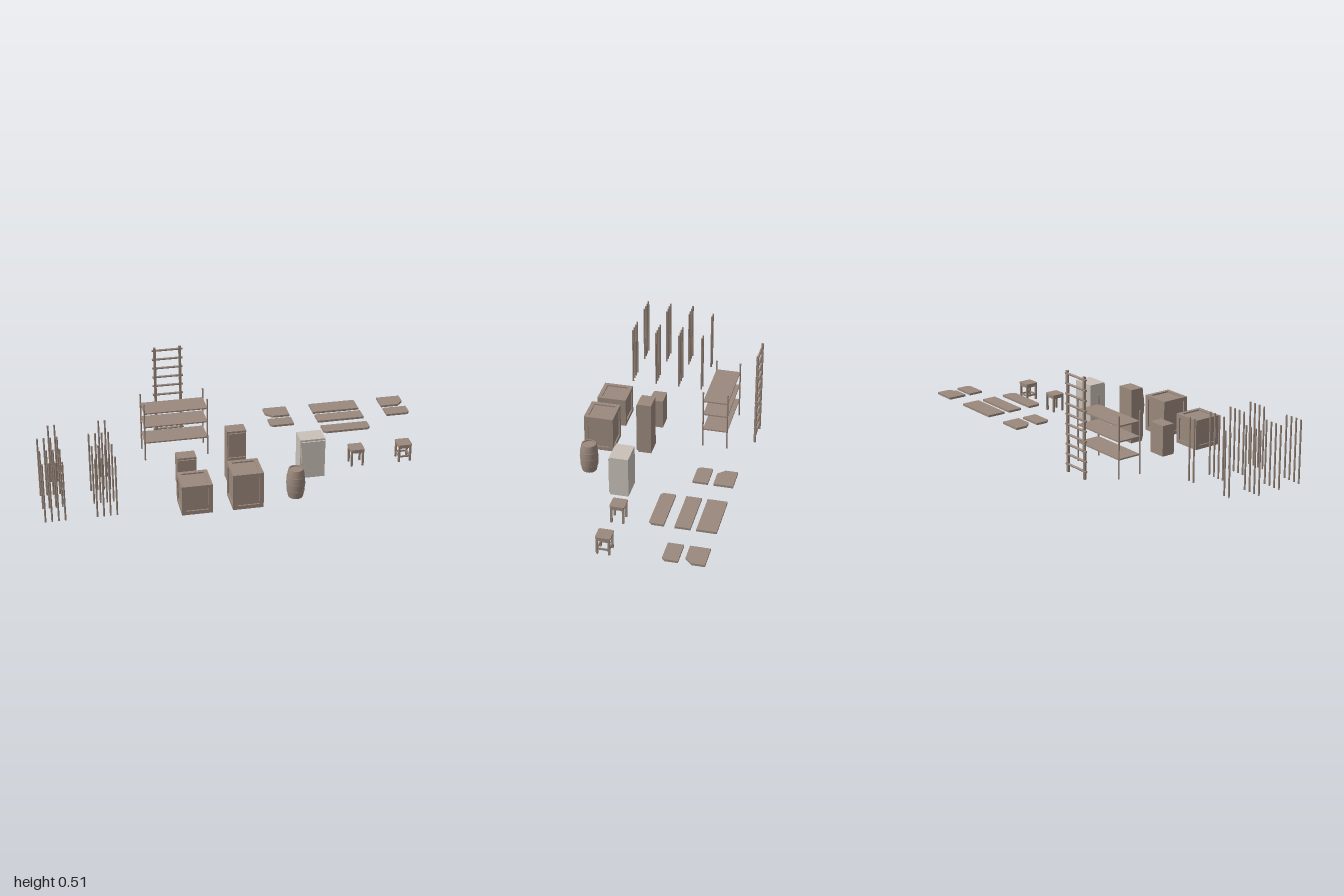
import * as THREE from 'three';
import { RoundedBoxGeometry } from 'three/addons/geometries/RoundedBoxGeometry.js';

const wood = new THREE.MeshStandardMaterial({ color: 0x9a887c });
wood.name = 'wood';
const pale = new THREE.MeshStandardMaterial({ color: 0xc8c0b8 });
pale.name = 'palePaint';

function add(parent, name, geometry, x, y, z, material = wood) {
  const mesh = new THREE.Mesh(geometry, material);
  mesh.name = name;
  mesh.position.set(x, y, z);
  parent.add(mesh);
  return mesh;
}

// Box given by its minimum and maximum corners
function block(parent, name, x0, x1, y0, y1, z0, z1, material = wood) {
  return add(parent, name, new THREE.BoxGeometry(x1 - x0, y1 - y0, z1 - z0),
    (x0 + x1) / 2, (y0 + y1) / 2, (z0 + z1) / 2, material);
}

function group(parent, name, x = 0, z = 0) {
  const g = new THREE.Group();
  g.name = name;
  g.position.set(x, 0, z);
  parent.add(g);
  return g;
}

// Crate: recessed core inside twelve edge beams
function crate(parent, x, z, w, h, d) {
  const g = group(parent, 'crate', x, z);
  const t = 0.02, inset = 0.007;
  add(g, 'cratePanels', new THREE.BoxGeometry(w - 2 * inset, h - 2 * inset, d - 2 * inset), 0, h / 2, 0);
  for (const a of [-1, 1]) for (const b of [-1, 1]) {
    add(g, 'crateCorner', new THREE.BoxGeometry(t, h, t), a * (w - t) / 2, h / 2, b * (d - t) / 2);
    const y = h / 2 + a * (h - t) / 2;
    add(g, 'crateFrontBeam', new THREE.BoxGeometry(w - 2 * t, t, t), 0, y, b * (d - t) / 2);
    add(g, 'crateSideBeam', new THREE.BoxGeometry(t, t, d - 2 * t), b * (w - t) / 2, y, 0);
  }
}

// Cupboard: plain body with doors and knobs on the front
function cupboard(parent, x, z, w, h, d, doors, material = wood) {
  const g = group(parent, 'cupboard', x, z);
  add(g, 'cupboardBody', new THREE.BoxGeometry(w, h, d - 0.007), 0, h / 2, -0.0035, material);
  const step = (h - 0.014) / doors;
  for (let i = 0; i < doors; i++) {
    const y = 0.006 + (i + 0.5) * step;
    add(g, 'cupboardDoor', new THREE.BoxGeometry(w - 0.008, step - 0.004, 0.007), 0, y, d / 2 - 0.0035, material);
  }
  return g;
}

// Barrel: bulging staves, recessed lid, raised hoops
function barrel(parent, x, z) {
  const g = group(parent, 'barrel', x, z);
  const h = 0.152;
  const radius = (y) => 0.046 - 0.009 * Math.pow((y - h / 2) / (h / 2), 2);
  const staves = [];
  for (let i = 0; i <= 12; i++) staves.push(new THREE.Vector2(radius((h * i) / 12), (h * i) / 12));
  add(g, 'barrelStaves', new THREE.LatheGeometry(staves, 28), 0, 0, 0);
  const rim = new THREE.RingGeometry(0.031, radius(h), 28).rotateX(-Math.PI / 2);
  add(g, 'barrelRim', rim, 0, h, 0);
  const lip = [new THREE.Vector2(0.031, h), new THREE.Vector2(0.031, h - 0.006)];
  add(g, 'barrelLip', new THREE.LatheGeometry(lip, 28), 0, 0, 0);
  add(g, 'barrelLid', new THREE.CircleGeometry(0.031, 28).rotateX(-Math.PI / 2), 0, h - 0.006, 0);
  add(g, 'barrelBase', new THREE.CircleGeometry(radius(0), 28).rotateX(Math.PI / 2), 0, 0, 0);
  for (const y of [0.036, 0.075, 0.112]) {
    const a = y - 0.004, b = y + 0.004;
    const band = [[radius(a), a], [radius(a) + 0.0015, a], [radius(b) + 0.0015, b], [radius(b), b]];
    add(g, 'barrelHoop', new THREE.LatheGeometry(band.map(([r, v]) => new THREE.Vector2(r, v)), 28), 0, 0, 0);
  }
}

// Stool: rounded seat, four legs, apron and optional stretchers
function stool(parent, x, z, stretchers) {
  const g = group(parent, 'stool', x, z);
  const o = 0.029;
  const seat = new THREE.Shape();
  const s = 0.037, r = 0.008;
  seat.absarc(s - r, s - r, r, 0, Math.PI / 2);
  seat.absarc(r - s, s - r, r, Math.PI / 2, Math.PI);
  seat.absarc(r - s, r - s, r, Math.PI, 1.5 * Math.PI);
  seat.absarc(s - r, r - s, r, 1.5 * Math.PI, 2 * Math.PI);
  const seatGeo = new THREE.ExtrudeGeometry(seat, { depth: 0.008, bevelEnabled: false, curveSegments: 4 });
  add(g, 'stoolSeat', seatGeo.rotateX(-Math.PI / 2), 0, 0.088, 0);
  for (const a of [-1, 1]) {
    for (const b of [-1, 1]) add(g, 'stoolLeg', new THREE.BoxGeometry(0.01, 0.088, 0.01), a * o, 0.044, b * o);
    for (const [y, h] of stretchers ? [[0.081, 0.014], [0.028, 0.009]] : [[0.081, 0.014]]) {
      add(g, 'stoolRail', new THREE.BoxGeometry(2 * o - 0.01, h, 0.006), 0, y, a * o);
      add(g, 'stoolRail', new THREE.BoxGeometry(0.006, h, 2 * o - 0.01), a * o, y, 0);
    }
  }
}

// Flat board with cut front corners (left cut at -x, right cut at +x)
function board(parent, x0, x1, z0, z1, cutMin, cutMax) {
  const shape = new THREE.Shape();
  shape.moveTo(x0, -z0);
  shape.lineTo(x0, -z1 + cutMin);
  if (cutMin) shape.lineTo(x0 + cutMin, -z1);
  shape.lineTo(x1 - cutMax, -z1);
  if (cutMax) shape.lineTo(x1, -z1 + cutMax);
  shape.lineTo(x1, -z0);
  const geo = new THREE.ExtrudeGeometry(shape, { depth: 0.011, bevelEnabled: false });
  add(parent, 'board', geo.rotateX(-Math.PI / 2), 0, 0.091, 0);
}

export function createModel() {
  const root = new THREE.Group();
  root.name = 'storeroomSet';

  // Two clusters of upright poles
  const poles = group(root, 'poles');
  const poleGeo = new THREE.CylinderGeometry(0.0045, 0.0045, 0.318, 8);
  for (const start of [-0.995, -0.745]) {
    [-0.035, 0.093, 0.22, 0.349].forEach((z, row) => {
      for (let i = row === 0 ? 2 : 0; i < 4; i++) add(poles, 'pole', poleGeo, start + i * 0.032, 0.159, z);
    });
  }

  // Ladder
  const ladder = group(root, 'ladder', -0.268, -0.417);
  for (const s of [-1, 1]) add(ladder, 'ladderRail', new THREE.BoxGeometry(0.013, 0.51, 0.011), s * 0.066, 0.255, 0);
  const rungGeo = new THREE.CylinderGeometry(0.006, 0.006, 0.16, 8).rotateZ(Math.PI / 2);
  for (let i = 0; i < 10; i++) add(ladder, 'ladderRung', rungGeo, 0, 0.04 + i * 0.0505, 0);

  // Shelf rack
  const rack = group(root, 'shelfRack', -0.27, -0.225);
  const postGeo = new THREE.CylinderGeometry(0.004, 0.004, 0.313, 8);
  const capGeo = new THREE.CylinderGeometry(0.0055, 0.0055, 0.005, 8);
  for (const a of [-1, 1]) for (const b of [-1, 1]) {
    add(rack, 'rackPost', postGeo, a * 0.163, 0.1565, b * 0.063);
    add(rack, 'rackCap', capGeo, a * 0.163, 0.3145, b * 0.063);
  }
  for (const y of [0.098, 0.187, 0.264]) add(rack, 'rackShelf', new THREE.BoxGeometry(0.326, 0.007, 0.126), 0, y, 0);

  // Crates, barrel and cupboards
  crate(root, -0.268, 0.346, 0.152, 0.155, 0.152);
  crate(root, -0.017, 0.346, 0.152, 0.19, 0.152);
  barrel(root, 0.237, 0.345);
  cupboard(root, -0.269, 0.115, 0.096, 0.16, 0.076, 1);
  cupboard(root, -0.018, 0.116, 0.096, 0.283, 0.078, 2);
  cupboard(root, 0.363, 0.142, 0.128, 0.215, 0.1, 1, pale).name = 'paleCabinet';

  // Stools
  stool(root, 0.617, 0.089, false);
  stool(root, 0.869, 0.089, true);

  // Raised boards
  const boards = group(root, 'boards');
  board(boards, 0.495, 0.745, -0.415, -0.318, 0, 0);
  board(boards, 0.495, 0.745, -0.29, -0.214, 0, 0);
  board(boards, 0.495, 0.745, -0.163, -0.09, 0.014, 0.014);
  board(boards, 0.24, 0.366, -0.415, -0.318, 0.035, 0);
  board(boards, 0.24, 0.366, -0.29, -0.214, 0.014, 0);
  board(boards, 0.872, 0.998, -0.415, -0.318, 0, 0.035);
  board(boards, 0.872, 0.998, -0.29, -0.214, 0, 0.014);

  return root;
}
